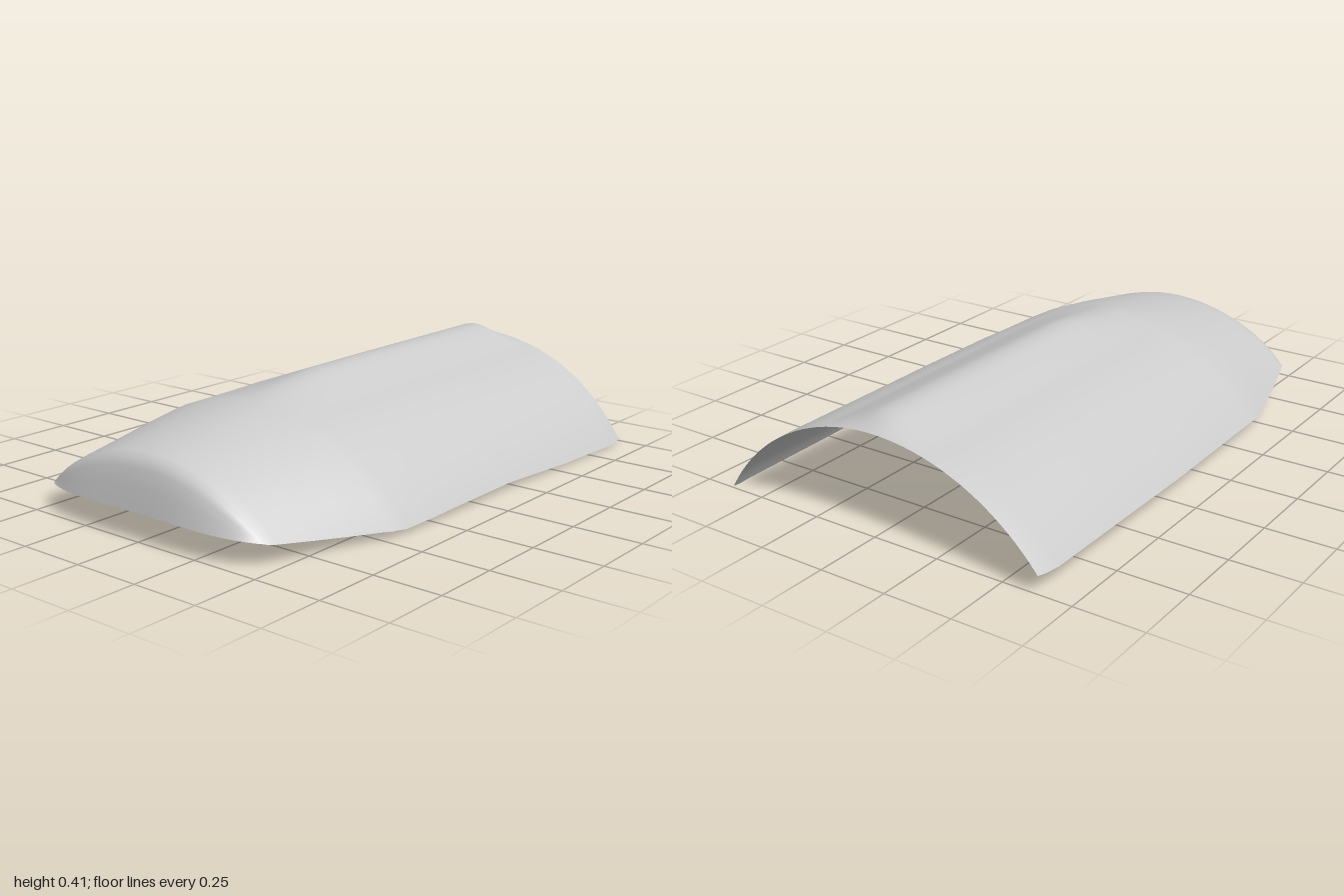
import * as THREE from 'three';

const material = new THREE.MeshStandardMaterial({ color: 0xcccccc, side: THREE.DoubleSide });
const SEGMENTS = 64;

// Stations: x, crown height, ridge height, +z half-width, +z edge y, -z half-width, -z edge y, bow of the ends
const stations = [
  [1.0, 0.365, 0, 0.63, 0.01, 0.63, 0.065, 0],
  [0.97, 0.365, 0.014, 0.637, 0.003, 0.638, 0.063, 0],
  [0.91, 0.365, 0.045, 0.642, 0.003, 0.645, 0.06, 0],
  [0.55, 0.365, 0.045, 0.637, 0.012, 0.645, 0.058, 0],
  [0.2, 0.365, 0.045, 0.628, 0.028, 0.645, 0.055, 0],
  [-0.1, 0.365, 0.043, 0.624, 0.024, 0.638, 0.053, 0],
  [-0.25, 0.36, 0.029, 0.622, 0.021, 0.634, 0.052, 0],
  [-0.4, 0.358, 0.012, 0.618, 0.02, 0.63, 0.05, 0],
  [-0.46, 0.358, 0.004, 0.602, 0.025, 0.627, 0.05, 0],
  [-0.6, 0.341, 0, 0.562, 0.04, 0.592, 0.052, 0],
  [-0.75, 0.315, 0, 0.518, 0.057, 0.554, 0.064, 0],
  [-0.88, 0.292, 0, 0.48, 0.073, 0.52, 0.077, 0],
  [-0.925, 0.281, 0, 0.468, 0.077, 0.51, 0.081, 0.02],
  [-0.95, 0.265, 0, 0.46, 0.08, 0.5, 0.083, 0.035],
  [-0.966, 0.237, 0, 0.453, 0.082, 0.492, 0.085, 0.043],
  [-0.983, 0.18, 0, 0.446, 0.084, 0.482, 0.087, 0.05],
  [-1.0, 0.1, 0, 0.435, 0.087, 0.47, 0.089, 0.055],
];

// Circular arch with a soft ridge along the crown; t runs from -1 to 1 across z
function archPoint([x, crown, ridge, wl, yl, wr, yr, bow], t) {
  const w = t > 0 ? wl : wr;
  const h = crown - (t > 0 ? yl : yr);
  const r = (w * w + h * h) / (2 * h);
  const a = Math.asin(Math.min(1, w / r)) * Math.abs(t);
  const z = Math.sign(t) * r * Math.sin(a);
  const d = Math.abs(z);
  const bump = d < 0.04 ? 1 - 1.5 * d : Math.max(0, 0.94 * (1 - (d - 0.04) / 0.165)) ** 1.25;
  return [x + bow * t ** 4, crown - r * (1 - Math.cos(a)) + ridge * bump, z];
}

// Joins rows of points into one smooth sheet
function loft(name, rows) {
  const n = rows[0].length;
  const index = [];
  for (let i = 0; i < rows.length - 1; i++) {
    for (let j = 0; j < n - 1; j++) {
      const a = i * n + j, b = a + n;
      index.push(a, a + 1, b, a + 1, b + 1, b);
    }
  }
  const geometry = new THREE.BufferGeometry();
  geometry.setAttribute('position', new THREE.Float32BufferAttribute(rows.flat(2), 3));
  geometry.setIndex(index);
  geometry.computeVertexNormals();
  const mesh = new THREE.Mesh(geometry, material);
  mesh.name = name;
  return mesh;
}

export function createModel() {
  const group = new THREE.Group();
  group.name = 'archedCover';
  const ts = Array.from({ length: SEGMENTS + 1 }, (_, i) => (2 * i) / SEGMENTS - 1);

  // Arched shell, open at one end and rounded down to a nose at the other
  const shell = stations.map((s) => ts.map((t) => archPoint(s, t)));
  group.add(loft('shell', shell.slice().reverse()));

  // Floor under the nose, with a curved free edge
  const rim = shell[shell.length - 1];
  const edge = ts.map((t) => [-0.45 - 0.19 * (1 - t * t), 0.038 - 0.013 * t, t * 0.615]);
  const floor = [0, 0.25, 0.5, 0.75, 1].map((k) =>
    ts.map((_, j) => edge[j].map((v, c) => v + (rim[j][c] - v) * k)));
  group.add(loft('noseFloor', floor));

  return group;
}
